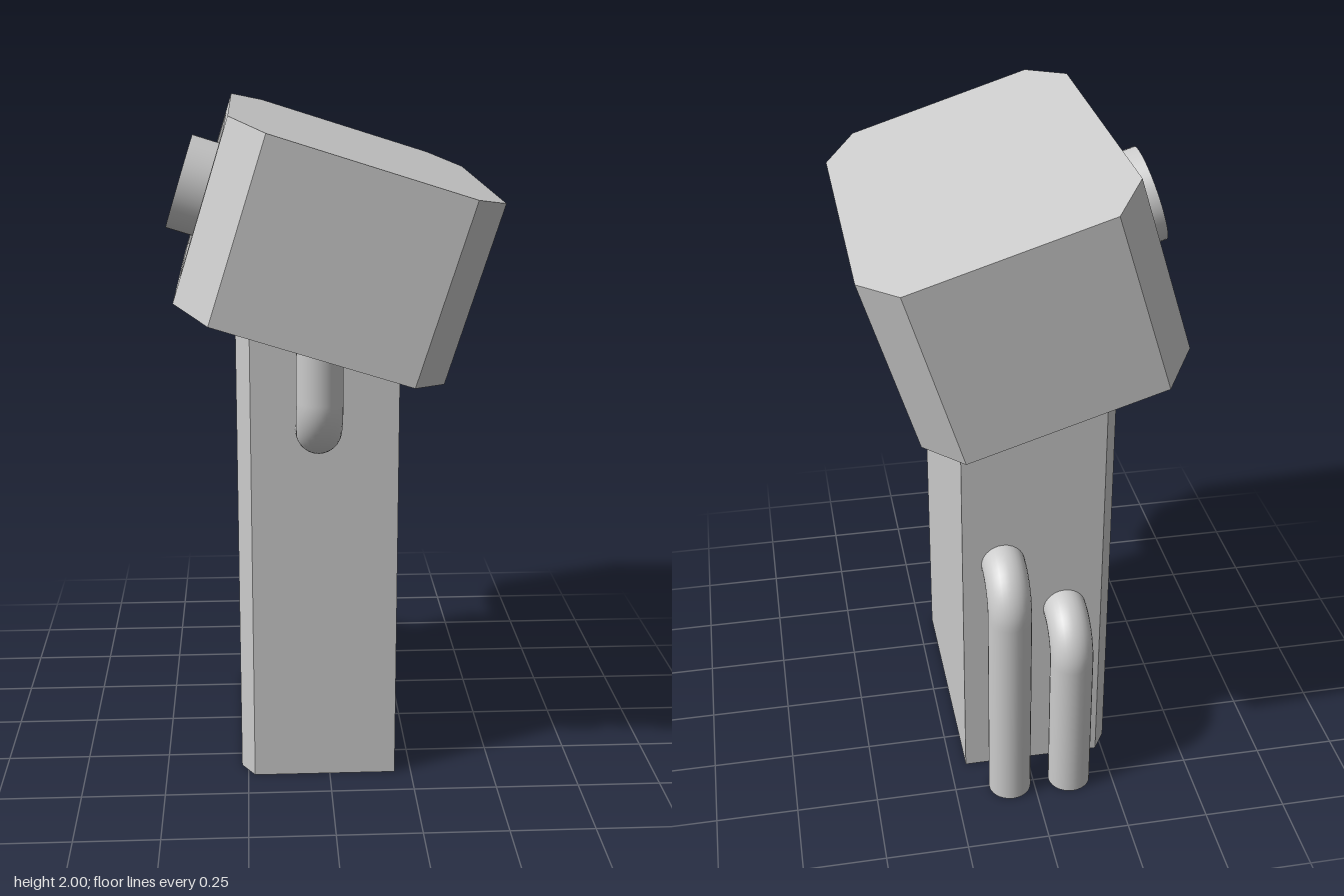
import * as THREE from 'three';
import { mergeGeometries } from 'three/addons/utils/BufferGeometryUtils.js';

const material = new THREE.MeshStandardMaterial({ color: 0xcccccc });

function addMesh(parent, name, geometry) {
  const mesh = new THREE.Mesh(geometry, material);
  mesh.name = name;
  parent.add(mesh);
  return mesh;
}

// Upright slab from an (x, z) outline, between heights y0 and y1.
function slab(points, y0, y1) {
  const shape = new THREE.Shape(points.map(([x, z]) => new THREE.Vector2(x, z)));
  return new THREE.ExtrudeGeometry(shape, { depth: y1 - y0, bevelEnabled: false })
    .rotateX(-Math.PI / 2)
    .translate(0, y0, 0);
}

// Prism with a rectangular recess in its -x face: solid slabs below and above a notched one.
// The outline's last and first points are the two ends of the -x face.
function recessedPrism(outline, y, recess) {
  const x = outline[0][0];
  const { halfWidth: w, depth: d } = recess;
  const notched = [...outline, [x, w], [x + d, w], [x + d, -w], [x, -w]];
  return mergeGeometries([
    slab(outline, y[0], recess.y0),
    slab(notched, recess.y0, recess.y1),
    slab(outline, recess.y1, y[1]),
  ]);
}

// Pipe that leaves a wall along z, turns a quarter circle and runs vertically to yEnd.
function pipe(parent, name, x, y, zWall, yEnd) {
  const radius = 0.066, bend = 0.115, k = bend * 0.4477;
  const out = Math.sign(zWall), turn = Math.sign(yEnd - y);
  const p = (dz, dy) => new THREE.Vector3(x, y + turn * dy, zWall + out * dz);
  const path = new THREE.CurvePath();
  path.add(new THREE.LineCurve3(p(-0.05, 0), p(0, 0)));
  path.add(new THREE.CubicBezierCurve3(p(0, 0), p(bend - k, 0), p(bend, k), p(bend, bend)));
  path.add(new THREE.LineCurve3(p(bend, bend), p(bend, Math.abs(yEnd - y))));
  const tube = new THREE.TubeGeometry(path, 60, radius, 28, false);
  const cap = new THREE.CircleGeometry(radius, 28)
    .rotateX(-turn * Math.PI / 2)
    .translate(x, yEnd, zWall + out * bend);
  addMesh(parent, name, mergeGeometries([tube, cap]));
}

export function createModel() {
  const model = new THREE.Group();
  model.name = 'model';

  // Post with two chamfered edges and a tall recessed panel
  const post = [[-0.27, -0.325], [-0.23, -0.39], [0.2, -0.39], [0.2, 0.39], [-0.23, 0.39], [-0.27, 0.325]];
  addMesh(model, 'post', recessedPrism(post, [0, 1.5],
    { halfWidth: 0.265, depth: 0.058, y0: 0.12, y1: 1.37 }));

  // Tilted head with chamfered corners and a recessed face
  const head = new THREE.Group();
  head.name = 'head';
  head.position.set(0.02, 1.625, 0);
  head.rotation.z = -0.305;
  model.add(head);
  const hx = 0.398, hz = 0.62, cx = 0.105, cz = 0.165;
  const octagon = [
    [-hx, cz - hz], [cx - hx, -hz], [hx - cx, -hz], [hx, cz - hz],
    [hx, hz - cz], [hx - cx, hz], [cx - hx, hz], [-hx, hz - cz],
  ];
  addMesh(head, 'headShell', recessedPrism(octagon, [-0.267, 0.267],
    { halfWidth: 0.323, depth: 0.065, y0: -0.223, y1: 0.217 }));

  // Round knob standing out of the head recess
  const knob = addMesh(head, 'knob', new THREE.CylinderGeometry(0.144, 0.144, 0.16, 48));
  knob.rotation.z = Math.PI / 2;
  knob.position.set(-0.398, 0.003, 0);

  // Pipes: one from the post up into the head, two from the back down to the floor
  pipe(model, 'frontPipe', -0.035, 1.105, 0.39, 1.5);
  pipe(model, 'tallBackPipe', 0.077, 0.78, -0.39, 0);
  pipe(model, 'shortBackPipe', -0.115, 0.59, -0.39, 0);

  return model;
}
